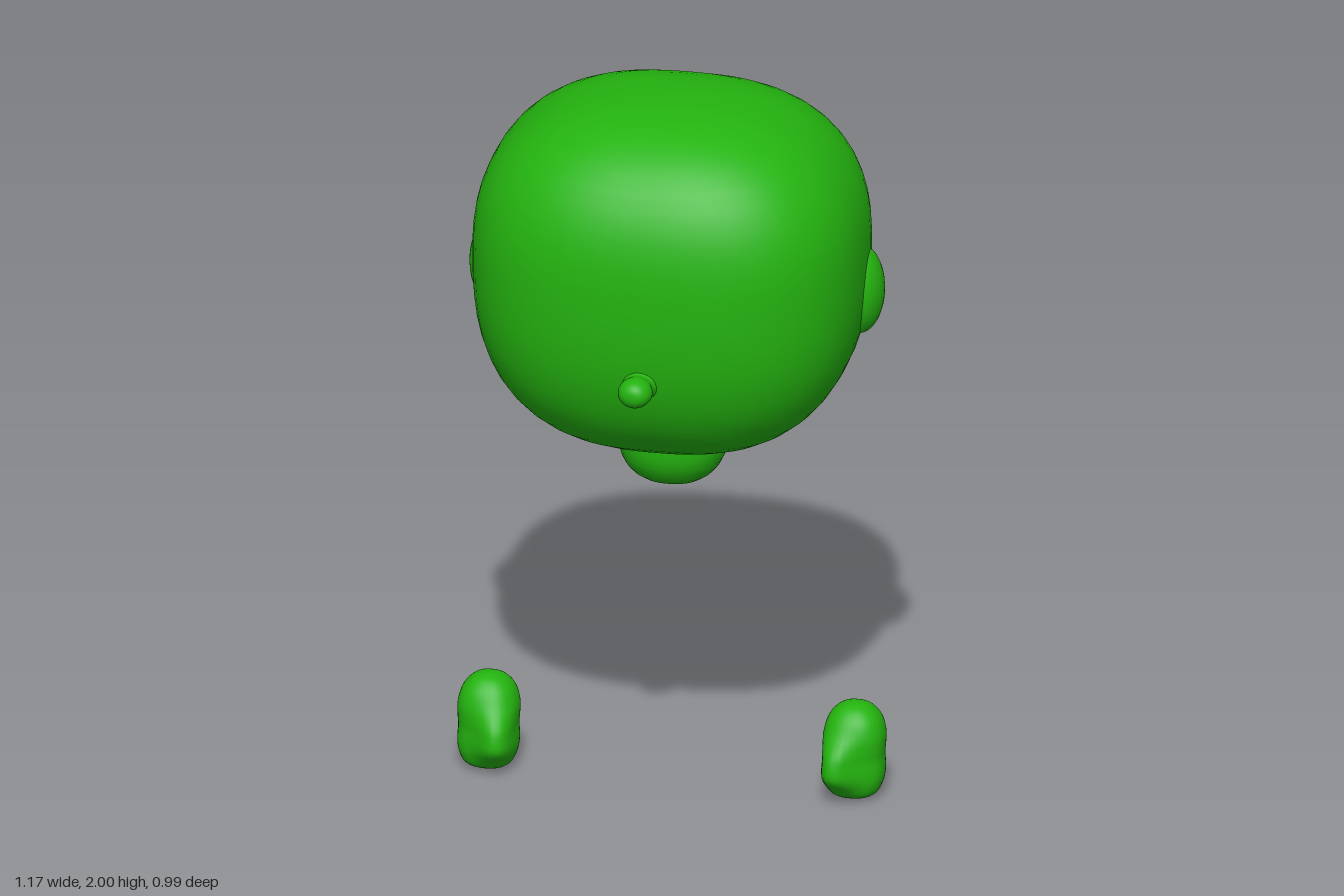
import * as THREE from 'three';
import { mergeVertices } from 'three/addons/utils/BufferGeometryUtils.js';

const green = new THREE.MeshStandardMaterial({ color: 0x24b30f });
green.name = 'green';

// Weld seams and recompute normals so the surface is smooth all round
function smooth(geo) {
  geo.deleteAttribute('uv');
  geo.deleteAttribute('normal');
  const welded = mergeVertices(geo, 1e-5);
  welded.computeVertexNormals();
  return welded;
}

// Rounded block: plan = squareness seen from above, up / down = of each half
function blob({ rx, rz, top, bottom, plan, up, down, seg = 64 }) {
  const geo = new THREE.SphereGeometry(1, seg, seg / 2);
  const p = geo.attributes.position;
  for (let i = 0; i < p.count; i++) {
    const x = p.getX(i), y = p.getY(i), z = p.getZ(i);
    const n = y > 0 ? up : down;
    const flat = Math.pow(Math.abs(x) ** plan + Math.abs(z) ** plan, 1 / plan);
    const k = Math.pow(flat ** n + Math.abs(y) ** n, -1 / n);
    p.setXYZ(i, x * k * rx, y * k * (y > 0 ? top : bottom), z * k * rz);
  }
  return smooth(geo);
}

// Turned shape through [radius, height] points
function turned(points, rings, sides) {
  const curve = new THREE.SplineCurve(points.map(([r, h]) => new THREE.Vector2(r, h)));
  const profile = curve.getPoints(rings);
  profile.forEach((v) => { v.x = Math.max(0, v.x); });
  return new THREE.LatheGeometry(profile, sides);
}

// Squarish mitten hand with a blunt thumb swelling forward and inward
function handGeometry(side) {
  const geo = turned([
    [0, 0], [0.038, 0.004], [0.066, 0.02], [0.08, 0.052], [0.083, 0.085], [0.081, 0.12],
    [0.083, 0.15], [0.083, 0.185], [0.071, 0.225], [0.046, 0.253], [0.02, 0.264], [0, 0.266],
  ], 40, 40);
  const p = geo.attributes.position;
  for (let i = 0; i < p.count; i++) {
    const x = p.getX(i), y = p.getY(i), z = p.getZ(i);
    const a = Math.atan2(-side * x, z);
    const square = Math.pow(Math.abs(Math.sin(a)) ** 2.4 + Math.abs(Math.cos(a)) ** 2.4, -1 / 2.4);
    const turn = Math.abs(a - 0.4) / 0.62;
    const rise = Math.abs(y - 0.1) / (y > 0.1 ? 0.075 : 0.055);
    const swell = 0.05 * Math.exp(-(turn ** 2.6) - rise ** 2.6) * Math.min(1, Math.hypot(x, z) / 0.06);
    p.setXYZ(i, x * square - side * swell * 0.25, y, z * 0.97 * square + swell - 0.05 * (y - 0.1));
  }
  return smooth(geo);
}

export function createModel() {
  const model = new THREE.Group();
  const add = (name, geo, x, y, z) => {
    const mesh = new THREE.Mesh(geo, green);
    mesh.name = name;
    mesh.position.set(x, y, z);
    model.add(mesh);
    return mesh;
  };

  // Big rounded head
  add('head', blob({ rx: 0.53, rz: 0.4525, top: 0.45, bottom: 0.545, plan: 2.55, up: 2.55, down: 2.55 }),
    0, 1.55, -0.0425);

  // Neck stub under the head
  add('neck', blob({ rx: 0.147, rz: 0.14, top: 0.13, bottom: 0.132, plan: 2.2, up: 2.4, down: 2.3, seg: 32 }),
    0, 1.0, -0.058);

  // Knob nose with a small flared root
  const nose = turned([
    [0.06, 0.375], [0.046, 0.392], [0.038, 0.406], [0.041, 0.42], [0.047, 0.445],
    [0.04, 0.472], [0.022, 0.488], [0, 0.492],
  ], 24, 24);
  nose.rotateX(Math.PI / 2);
  nose.scale(1, 0.88, 1);
  add('nose', smooth(nose), 0, 1.33, 0);

  // Ears and floating hands, one on each side
  for (const side of [1, -1]) {
    const label = side > 0 ? 'left' : 'right';
    add(label + 'Ear', blob({ rx: 0.068, rz: 0.088, top: 0.125, bottom: 0.125, plan: 2, up: 2, down: 2, seg: 32 }),
      side * 0.5, 1.445, -0.108);
    add(label + 'Hand', handGeometry(side), side * 0.502, 0, -0.035);
  }
  return model;
}
